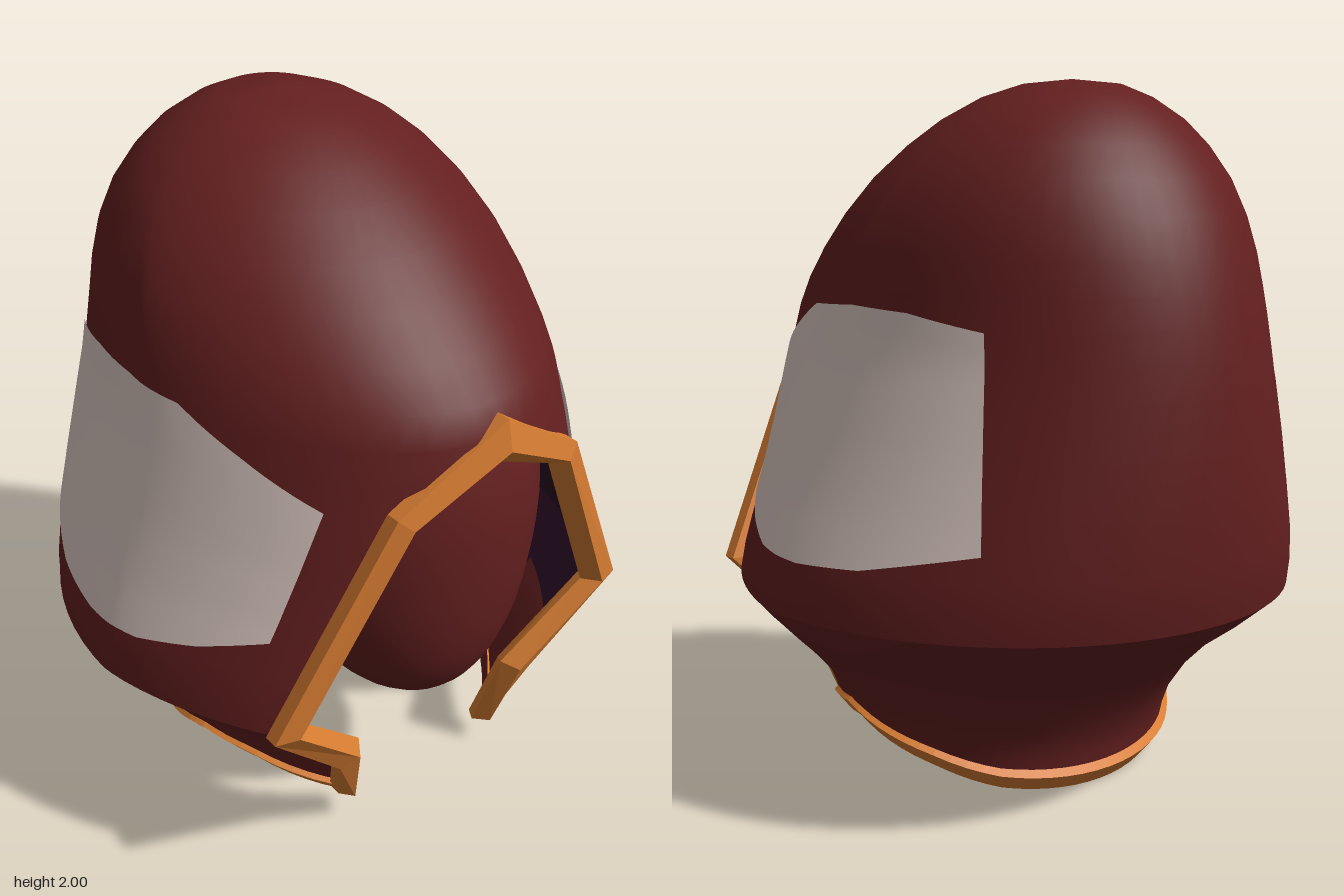
import * as THREE from 'three';
import { mergeVertices } from 'three/addons/utils/BufferGeometryUtils.js';

const { lerp, clamp } = THREE.MathUtils;
const SEGMENTS = 56;

// Hood sections: y, half width, front z, back z, z of widest point, half width of face opening
const HOOD = [
  [2.0, 0, -0.2, -0.2, -0.2, 0],
  [1.985, 0.14, -0.06, -0.34, -0.2, 0],
  [1.95, 0.24, 0.06, -0.42, -0.18, 0],
  [1.89, 0.342, 0.185, -0.505, -0.16, 0],
  [1.82, 0.425, 0.295, -0.57, -0.13, 0],
  [1.73, 0.497, 0.425, -0.64, -0.08, 0],
  [1.63, 0.55, 0.54, -0.695, -0.02, 0],
  [1.53, 0.582, 0.65, -0.733, 0.03, 0],
  [1.44, 0.598, 0.74, -0.758, 0.06, 0],
  [1.36, 0.614, 0.785, -0.775, 0.08, 0],
  [1.27, 0.632, 0.805, -0.79, 0.1, 0.14],
  [1.18, 0.655, 0.827, -0.80, 0.1, 0.28],
  [1.03, 0.695, 0.855, -0.812, 0.1, 0.355],
  [0.88, 0.74, 0.888, -0.817, 0.1, 0.43],
  [0.73, 0.79, 0.93, -0.812, 0.1, 0.507],
  [0.64, 0.812, 0.965, -0.80, 0.1, 0.553],
  [0.57, 0.82, 0.99, -0.785, 0.1, 0.58],
];
// Neck sections, with the first value running from 0 at the ridge to 1 at the rim
const NECK = [
  [0, 0.82, 0.99, -0.785, 0.1, 0.58],
  [0.14, 0.775, 0.905, -0.69, 0.1, 0.507],
  [0.31, 0.715, 0.795, -0.56, 0.1, 0.42],
  [0.5, 0.645, 0.685, -0.455, 0.1, 0.32],
  [0.7, 0.575, 0.66, -0.385, 0.1, 0.304],
  [0.85, 0.545, 0.64, -0.36, 0.1, 0.292],
  [1, 0.525, 0.615, -0.35, 0.1, 0.28],
];
// Height of the neck rim from the front (cosine 1) to the back (cosine -1)
const RIM = [[1, 0.09], [0.85, 0.105], [0.5, 0.18], [0.2, 0.205], [0, 0.195], [-0.5, 0.115], [-0.8, 0.05], [-1, 0.02]];

function sample(table, key) {
  let i = 0;
  while (i < table.length - 2 && table[i + 1][0] > key) i++;
  const t = (table[i][0] - key) / (table[i][0] - table[i + 1][0]);
  return table[i].map((v, k) => lerp(v, table[i + 1][k], t));
}

// Sections grow more pointed as their front reaches forward
const sharpness = (front) => lerp(1, 1.4, clamp(front / 0.7, 0, 1));

// One horizontal section, open at the face, pushed outward by offset
function section([, w, front, back, zc, open], offset, height) {
  const W = Math.max(w + offset, 0.0001);
  const start = open > 0 ? Math.asin(Math.min(open / W, 1)) : 0;
  return Array.from({ length: SEGMENTS + 1 }, (_, j) => {
    const a = lerp(start, 2 * Math.PI - start, j / SEGMENTS);
    const c = Math.cos(a);
    const depth = Math.max((c > 0 ? front - zc : zc - back) + offset, 0.0001);
    const reach = c > 0 ? c ** sharpness(front) : c;
    return [W * Math.sin(a), height(c), zc + depth * reach];
  });
}

// Skin a list of equally long point rows; flip turns the faces over
function skin(rows, flip = false) {
  const n = rows[0].length;
  const index = [];
  for (let i = 0; i < rows.length - 1; i++) {
    for (let j = 0; j < n - 1; j++) {
      const a = i * n + j, b = a + 1, c = a + n, d = c + 1;
      if (flip) index.push(a, b, c, b, d, c);
      else index.push(a, c, b, b, c, d);
    }
  }
  let g = new THREE.BufferGeometry();
  g.setAttribute('position', new THREE.Float32BufferAttribute(rows.flat(2), 3));
  g.setIndex(index);
  g = mergeVertices(g, 1e-5);
  g.computeVertexNormals();
  return g;
}

const hoodRows = (o) => HOOD.map((s) => section(s, o, () => s[0] + (s[0] > 0.57 ? o : 0)));
const neckRows = (o, drop) => NECK.map((s) =>
  section(s, o, (c) => lerp(0.57, sample(RIM, c)[1] - drop, s[0])));

// Side panel following the hood, between a top and a bottom edge of [z, y] points
function panelRows(side) {
  const top = [[0.6, 1.2], [0.4, 1.3], [0.2, 1.39], [0, 1.4], [-0.2, 1.39], [-0.42, 1.35]];
  const bottom = [[0.56, 0.83], [0.39, 0.77], [0.22, 0.73], [0.02, 0.72], [-0.2, 0.735], [-0.5, 0.8]];
  const rows = [];
  for (let i = 0; i <= 12; i++) {
    const row = [];
    for (let j = 0; j <= 30; j++) {
      const k = Math.min(Math.floor(j / 6), 4), f = j / 6 - k;
      const at = (e, m) => lerp(e[k][m], e[k + 1][m], f);
      const z = lerp(at(top, 0), at(bottom, 0), i / 12);
      const y = lerp(at(top, 1), at(bottom, 1), i / 12);
      const [, w, front, back, zc] = sample(HOOD, y);
      const c = z > zc
        ? ((z - zc) / (front - zc + 0.009)) ** (1 / sharpness(front))
        : (zc - z) / (zc - back + 0.009);
      row.push([side * (w + 0.009) * Math.sqrt(1 - c * c), y, z]);
    }
    rows.push(row);
  }
  return rows;
}

// Bevelled face trim: outer x, y, inner x, y, z at each corner
function faceTrimRows() {
  const half = [
    [0, 1.415, 0, 1.275, 0.785],
    [0.31, 1.21, 0.245, 1.15, 0.738],
    [0.632, 0.585, 0.522, 0.585, 0.652],
    [0.365, 0.3, 0.275, 0.345, 0.59],
    [0.315, 0.12, 0.24, 0.083, 0.52],
  ];
  const path = [...half.slice(1).reverse().map(([a, b, c, d, z]) => [-a, b, -c, d, z]), ...half];
  return path.map(([ox, oy, ix, iy, z]) => {
    const mix = (t, dz) => [lerp(ox, ix, t), lerp(oy, iy, t), z + dz];
    return [mix(0, -0.03), mix(0, 0.012), mix(0.62, 0.032), mix(1, -0.02), mix(0.8, -0.05), mix(0, -0.03)];
  });
}

export function createModel() {
  const group = new THREE.Group();
  const material = (name, color) => {
    const m = new THREE.MeshStandardMaterial({ color });
    m.name = name;
    return m;
  };
  const red = material('dark red', 0x641f1f);
  const purple = material('dark purple', 0x280a22);
  const orange = material('orange', 0xd87d32);
  const pale = material('pale grey', 0xe0cdc6);
  pale.side = THREE.DoubleSide;
  orange.side = THREE.DoubleSide;
  orange.flatShading = true;

  const add = (name, geometry, mat) => {
    const mesh = new THREE.Mesh(geometry, mat);
    mesh.name = name;
    group.add(mesh);
    return mesh;
  };

  // Outer shell in two pieces, leaving a crisp ridge between them
  add('hood', skin(hoodRows(0)), red);
  add('neck', skin(neckRows(0, 0)), red);

  // Lining, with red facings behind the lower cheek edges
  const facing = 5;
  const lining = neckRows(-0.014, 0.018);
  const lower = (from, to) => lining.slice(2).map((row) => row.slice(from, to + 1));
  add('hoodLining', skin(hoodRows(-0.014), true), purple);
  add('upperNeckLining', skin(lining.slice(0, 3), true), purple);
  add('lowerNeckLining', skin(lower(facing, SEGMENTS - facing), true), purple);
  add('leftFacing', skin(lower(0, facing), true), red);
  add('rightFacing', skin(lower(SEGMENTS - facing, SEGMENTS), true), red);

  // Rounded mask inside the hood, its chin swept forward
  const mask = new THREE.SphereGeometry(1, 32, 24);
  mask.scale(0.41, 0.6, 0.385).translate(0, 1.0, 0.378);
  const p = mask.attributes.position;
  for (let i = 0; i < p.count; i++) {
    p.setZ(i, p.getZ(i) + 0.33 * Math.max(0, 1 - p.getY(i)) ** 2);
  }
  mask.computeVertexNormals();
  add('mask', mask, red);

  // Trim around the face and along the neck rim
  add('faceTrim', skin(faceTrimRows()), orange);
  const rim = NECK[NECK.length - 1];
  const ring = (offset, dy) => section(rim, offset, (c) => sample(RIM, c)[1] + dy);
  add('neckTrim', skin([ring(0, 0.055), ring(0.026, 0.03), ring(-0.014, -0.018)]), orange);

  // Side panels
  add('leftPanel', skin(panelRows(1)), pale);
  add('rightPanel', skin(panelRows(-1), true), pale);

  return group;
}
